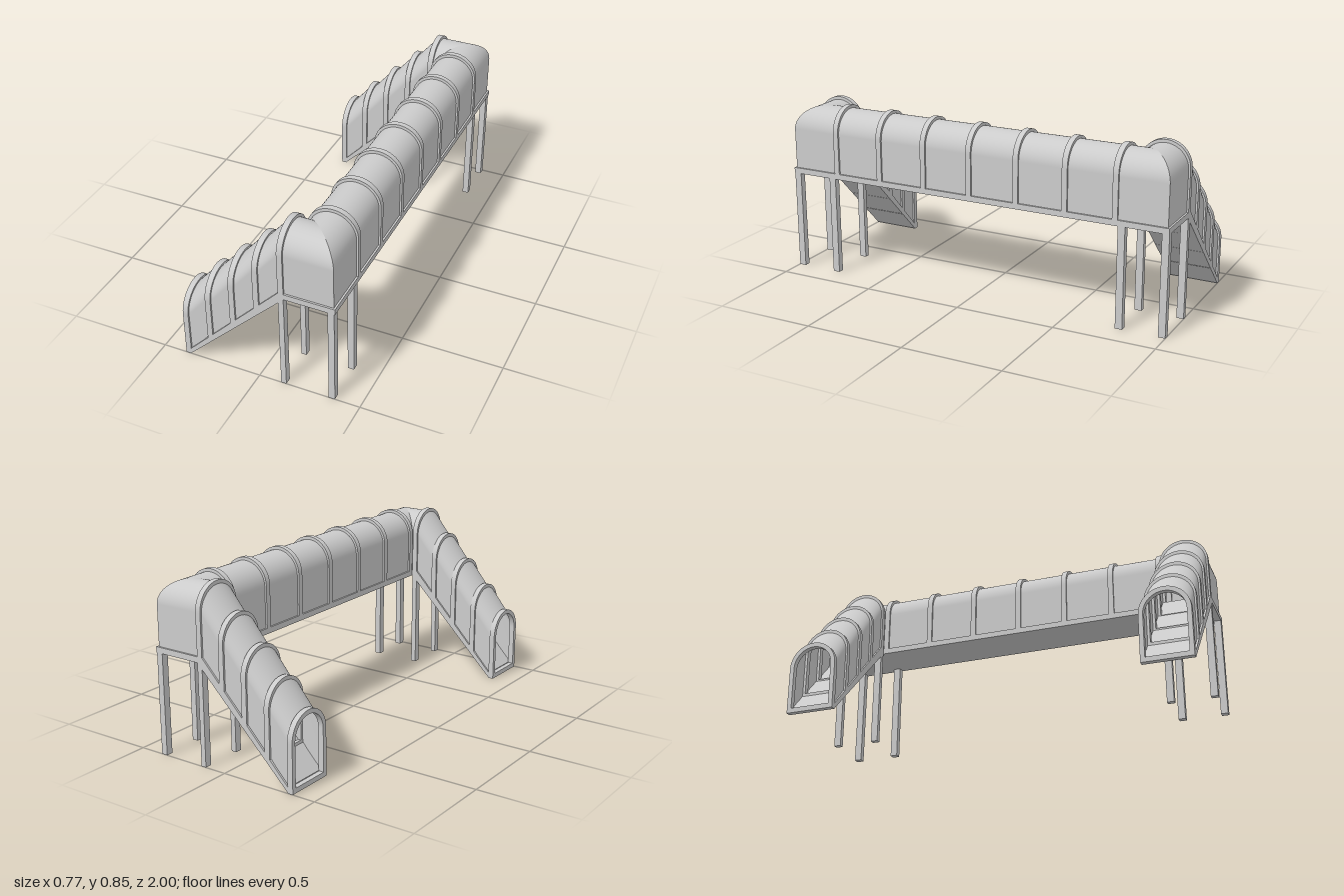
import * as THREE from 'three';

const HALF = 0.122;       // half width of ribs and deck
const SKIN = 0.113;       // half width of the covering
const DECK = 0.495;       // underside of the raised deck
const XC = 0.26;          // centre line of the long span
const ZC = 0.878;         // centre line of each ramp
const RIB = 0.027;        // rib thickness

const mat = new THREE.MeshStandardMaterial({ color: 0xcccccc });
const skinMat = new THREE.MeshStandardMaterial({ color: 0xcccccc, side: THREE.DoubleSide });

function add(parent, name, geo, material = mat) {
  const mesh = new THREE.Mesh(geo, material);
  mesh.name = name;
  parent.add(mesh);
  return mesh;
}

function box(parent, name, x0, x1, y0, y1, z0, z1) {
  const mesh = add(parent, name, new THREE.BoxGeometry(x1 - x0, y1 - y0, Math.abs(z1 - z0)));
  mesh.position.set((x0 + x1) / 2, (y0 + y1) / 2, (z0 + z1) / 2);
  return mesh;
}

// Outline of a round-topped doorway
function arch(path, half, bottom, spring) {
  path.moveTo(-half, bottom);
  path.lineTo(half, bottom);
  path.lineTo(half, spring);
  path.absarc(0, spring, half, 0, Math.PI, false);
  path.lineTo(-half, bottom);
  return path;
}

function ribGeometry() {
  const shape = arch(new THREE.Shape(), HALF, 0, 0.233);
  shape.holes.push(arch(new THREE.Path(), 0.1, 0.024, 0.233));
  const geo = new THREE.ExtrudeGeometry(shape, { depth: RIB, bevelEnabled: false, curveSegments: 24 });
  return geo.translate(0, 0, -RIB / 2);
}

// Open cross-section of the covering: sideways offset u, height v
const profile = [[-SKIN, 0.015]];
for (let i = 0; i <= 24; i++) {
  const a = Math.PI * (1 - i / 24);
  profile.push([SKIN * Math.cos(a), 0.227 + SKIN * Math.sin(a)]);
}
profile.push([SKIN, 0.015]);

// Covering stretched between two placements of the cross-section
function skin(from, to) {
  const pos = [], index = [], n = profile.length;
  for (const place of [from, to]) for (const [u, v] of profile) pos.push(...place(u, v));
  for (let i = 0; i < n - 1; i++) index.push(i, i + 1, n + i, i + 1, n + i + 1, n + i);
  const geo = new THREE.BufferGeometry();
  geo.setAttribute('position', new THREE.Float32BufferAttribute(pos, 3));
  geo.setIndex(index);
  geo.computeVertexNormals();
  return geo;
}

export function createModel() {
  const model = new THREE.Group();
  model.name = 'coveredFootbridge';
  const rib = ribGeometry();

  // Long raised span
  const span = new THREE.Group();
  span.name = 'span';
  model.add(span);
  box(span, 'deck', XC - HALF, XC + HALF, DECK, DECK + 0.028, -1, 1);
  const across = (z) => (u, v) => [XC + u, DECK + v, z];
  add(span, 'spanCovering', skin(across(0.742), across(-0.742)), skinMat);
  for (let i = -3; i <= 3; i++) {
    add(span, 'spanRib', rib).position.set(XC, DECK, i * 0.2473);
  }

  for (const s of [1, -1]) {
    // Mitred corner
    const corner = new THREE.Group();
    corner.name = s > 0 ? 'frontCorner' : 'backCorner';
    model.add(corner);
    const mitre = (u, v) => [XC + u, DECK + v, s * (ZC + u)];
    const rampTop = (u, v) => [0.123, DECK + v, s * (ZC + u)];
    add(corner, 'cornerCovering', skin(across(s * 0.742), mitre), skinMat);
    add(corner, 'cornerCovering', skin(mitre, rampTop), skinMat);
    box(corner, 'landing', 0.11, XC - HALF, DECK, DECK + 0.028, s * (ZC - HALF), s * (ZC + HALF));
    for (const [x0, x1] of [[0.11, 0.136], [0.347, 0.378]]) {
      for (const z of [0.7735, 0.9825]) {
        box(corner, 'column', x0, x1, 0, DECK, s * (z - 0.0175), s * (z + 0.0175));
      }
    }

    // Sloping ramp
    const ramp = new THREE.Group();
    ramp.name = s > 0 ? 'frontRamp' : 'backRamp';
    model.add(ramp);
    const side = new THREE.Shape([
      [-0.36, 0], [0.137, DECK], [0.137, DECK + 0.028], [0.11, DECK + 0.028], [-0.36, 0.028],
    ].map(([x, y]) => new THREE.Vector2(x, y)));
    const floor = new THREE.ExtrudeGeometry(side, { depth: 2 * HALF, bevelEnabled: false });
    add(ramp, 'rampFloor', floor).position.z = s * ZC - HALF;

    // Upright ribs with one bay of covering between each pair
    for (let i = 0; i < 5; i++) {
      const x = -0.371 + i * 0.1235, y = i * DECK / 4;
      const ring = add(ramp, 'rampRib', rib);
      ring.rotation.y = Math.PI / 2;
      ring.position.set(x, y, s * ZC);
      if (i === 4) break;
      const low = (u, v) => [x + RIB / 2 - 0.002, y + v + 0.003, s * ZC + u];
      const high = (u, v) => [x + 0.1235 - RIB / 2 + 0.002, y + DECK / 4 + v, s * ZC + u];
      add(ramp, 'rampCovering', skin(low, high), skinMat);
    }
  }
  return model;
}
